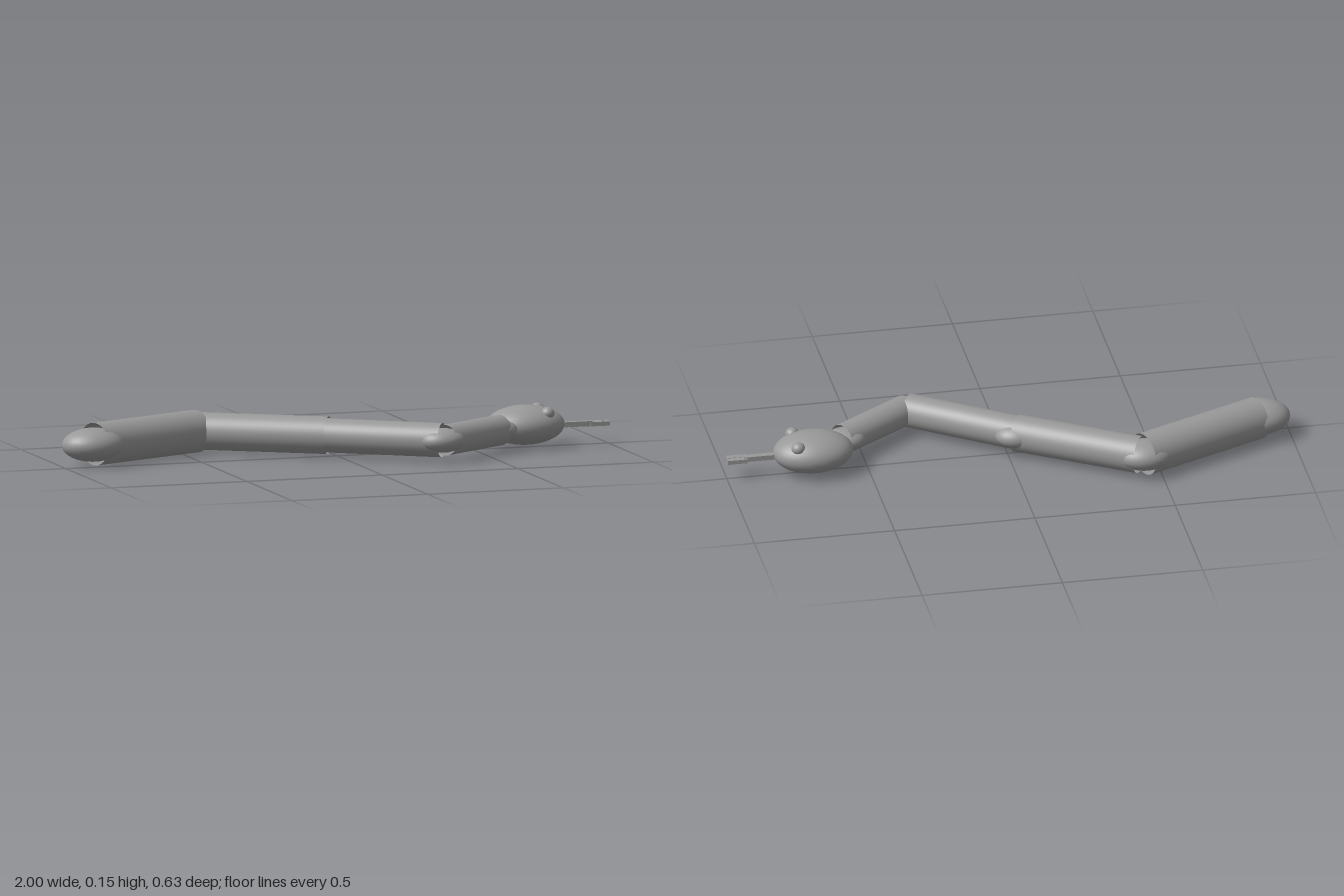
import * as THREE from 'three';

const Y = 0.077; // height of the body axis

export function createModel() {
  const grey = new THREE.MeshStandardMaterial({ color: 0x999999, side: THREE.DoubleSide });
  grey.name = 'grey';
  const model = new THREE.Group();
  model.name = 'snake';

  const add = (name, geometry, x, y, z) => {
    const mesh = new THREE.Mesh(geometry, grey);
    mesh.name = name;
    mesh.position.set(x, y, z);
    model.add(mesh);
    return mesh;
  };
  const ellipsoid = (name, x, y, z, rx, ry, rz) =>
    add(name, new THREE.SphereGeometry(1, 32, 20), x, y, z).scale.set(rx, ry, rz);

  // Open body tubes: start x, z, end x, z, radius
  const tubes = [
    [-0.88, -0.045, -0.44, -0.24, 0.075],
    [-0.425, -0.24, -0.035, 0.005, 0.066],
    [-0.045, 0, 0.305, 0.247, 0.06],
    [0.315, 0.25, 0.575, 0.073, 0.054],
  ];
  tubes.forEach(([x1, z1, x2, z2, r], i) => {
    const a = new THREE.Vector3(x1, Y, z1);
    const b = new THREE.Vector3(x2, Y, z2);
    const dir = b.clone().sub(a);
    const tube = add(`bodySegment${i + 1}`,
      new THREE.CylinderGeometry(r, r, dir.length(), 40, 1, true),
      (x1 + x2) / 2, Y, (z1 + z2) / 2);
    tube.quaternion.setFromUnitVectors(new THREE.Vector3(0, 1, 0), dir.normalize());
  });

  // Flattened joints between the tubes: x, z, size
  const joints = [
    [-0.888, -0.036, 0.086],
    [-0.445, -0.242, 0.075],
    [-0.04, -0.008, 0.066],
    [0.305, 0.252, 0.062],
    [0.565, 0.075, 0.056],
  ];
  joints.forEach(([x, z, r], i) =>
    ellipsoid(i ? `joint${i}` : 'tailEnd', x, Y, z, r * 1.3, r * 0.69, r));

  // Head and eyes
  ellipsoid('head', 0.693, 0.081, 0, 0.142, 0.07, 0.105);
  for (const side of [1, -1]) {
    ellipsoid(side > 0 ? 'rightEye' : 'leftEye', 0.757, 0.126, side * 0.058, 0.024, 0.022, 0.024);
  }

  // Tongue with a two-pronged tip
  add('tongue', new THREE.BoxGeometry(0.14, 0.018, 0.022), 0.87, 0.075, 0);
  for (const side of [1, -1]) {
    add('tongueProng', new THREE.BoxGeometry(0.07, 0.015, 0.02), 0.965, 0.074, side * 0.011);
  }
  return model;
}
